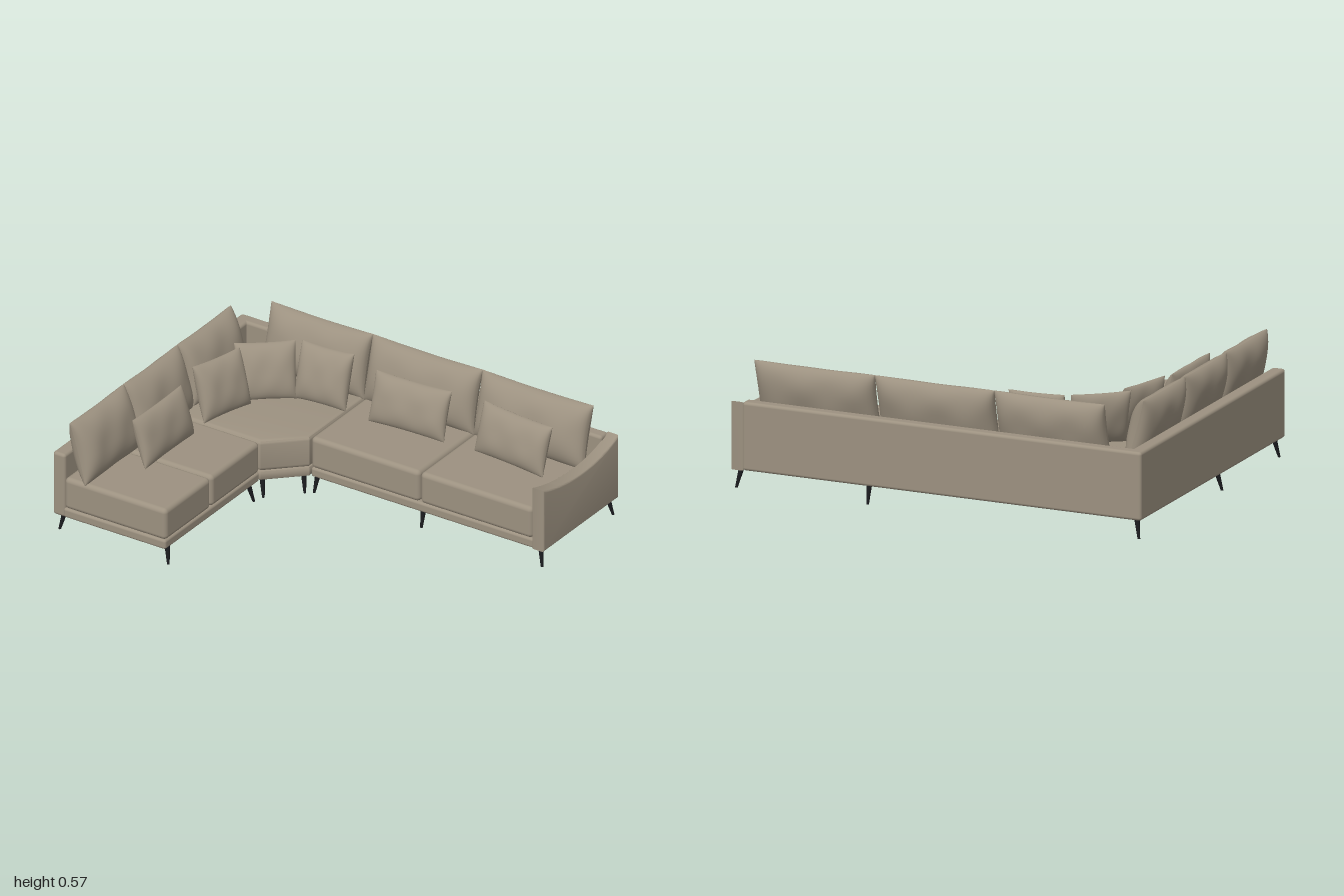
import * as THREE from 'three';
import { toCreasedNormals } from 'three/addons/utils/BufferGeometryUtils.js';
import { RoundedBoxGeometry } from 'three/addons/geometries/RoundedBoxGeometry.js';

export function createModel() {
  const sofa = new THREE.Group();
  sofa.name = 'cornerSofa';
  const fabric = new THREE.MeshStandardMaterial({ color: 0x9c9180 });
  fabric.name = 'taupe fabric';
  const metal = new THREE.MeshStandardMaterial({ color: 0x1a1b1e });
  metal.name = 'black metal';

  const add = (name, geometry, material = fabric) => {
    const mesh = new THREE.Mesh(geometry, material);
    mesh.name = name;
    sofa.add(mesh);
    return mesh;
  };

  // Soft-edged block given by its extents
  const block = (name, x0, x1, y0, y1, z0, z1, r) => {
    const g = new RoundedBoxGeometry(x1 - x0, y1 - y0, z1 - z0, 4, r);
    g.translate((x0 + x1) / 2, (y0 + y1) / 2, (z0 + z1) / 2);
    return add(name, g);
  };

  // Bevelled extrusion whose bevel stays within the given depth
  const extrude = (shape, depth, r) => new THREE.ExtrudeGeometry(shape, {
    depth: depth - 2 * r, bevelSize: r, bevelThickness: r, bevelOffset: -r,
    bevelSegments: 4, curveSegments: 24,
  }).translate(0, 0, r);

  // Horizontal slab from an outline of [x, z] points
  const slab = (name, outline, y0, y1, r) => {
    const shape = new THREE.Shape(outline.map(([x, z]) => new THREE.Vector2(x, -z)));
    const g = extrude(shape, y1 - y0, r).rotateX(-Math.PI / 2).translate(0, y0, 0);
    return add(name, toCreasedNormals(g, 0.6));
  };

  // Back panels
  block('backPanel', -1, 0.945, 0.085, 0.4, -0.755, -0.695, 0.014);
  block('sidePanel', -1, -0.935, 0.085, 0.4, -0.74, 0.755, 0.014);

  // Arm with a sagging top edge
  const armShape = new THREE.Shape();
  armShape.moveTo(0.155, 0.085);
  armShape.lineTo(0.755, 0.085);
  armShape.lineTo(0.755, 0.4);
  armShape.bezierCurveTo(0.6, 0.325, 0.36, 0.325, 0.155, 0.395);
  armShape.closePath();
  const arm = extrude(armShape, 0.064, 0.01).rotateY(Math.PI / 2).translate(0.936, 0, 0);
  add('arm', toCreasedNormals(arm, 0.6));

  // Base plinths
  const corner = (g) => [
    [-0.945, -g], [-0.4 - g * 0.4, -g], [-0.24 - g, -0.155 - g * 0.4],
    [-0.24 - g, -0.705], [-0.945, -0.705],
  ];
  block('mainBase', -0.237, 0.945, 0.085, 0.132, -0.705, -0.157, 0.012);
  block('sideBase', -0.945, -0.402, 0.085, 0.132, 0.003, 0.755, 0.012);
  slab('cornerBase', corner(0.003), 0.085, 0.132, 0.01);

  // Seat cushions
  const y0 = 0.13, y1 = 0.285;
  block('mainSeat', -0.238, 0.338, y0, y1, -0.7, -0.155, 0.022);
  block('mainSeat', 0.342, 0.936, y0, y1, -0.7, -0.155, 0.022);
  block('sideSeat', -0.94, -0.4, y0, y1, 0.002, 0.388, 0.022);
  block('sideSeat', -0.94, -0.4, y0, y1, 0.392, 0.755, 0.022);
  slab('cornerSeat', corner(0.002), y0, y1, 0.02);

  // Stuffed pillow: two bulging faces meeting at a seam, with drawn-out corners
  const pillowGeometry = (w, h, t, seed) => {
    const g = new THREE.PlaneGeometry(2, 2, 28, 20);
    const p = g.attributes.position;
    const warp = (s) => Math.sin(s * Math.PI / 2);
    for (let i = 0; i < p.count; i++) {
      const u = warp(p.getX(i)), v = warp(p.getY(i));
      const fill = Math.max(0, 1 - Math.abs(u) ** 5) ** 0.45 * Math.max(0, 1 - Math.abs(v) ** 2.6) ** 0.6;
      const wrinkle = 1 + 0.06 * Math.sin(u * 7 + seed * 2) * Math.sin(v * 3 + seed);
      p.setXYZ(i,
        u * w / 2 * (1 - 0.035 * (1 - v * v)),
        v * h / 2 * (1 - 0.04 * (1 - u * u)),
        t / 2 * fill * wrinkle);
    }
    g.computeVertexNormals();
    return g;
  };
  const pillow = (name, x, y, z, w, h, t, yaw, lean, seed) => {
    const group = new THREE.Group();
    group.name = name;
    for (const side of [0, 1]) {
      const face = new THREE.Mesh(pillowGeometry(w, h, t, seed + side), fabric);
      face.name = side ? 'pillowBack' : 'pillowFront';
      face.rotation.y = side * Math.PI;
      group.add(face);
    }
    group.position.set(x, y, z);
    group.rotation.set(-lean, yaw, 0, 'YXZ');
    sofa.add(group);
  };

  // Large back cushions: [centre along the panel, width]
  const right = Math.PI / 2;
  [[-0.51, 0.54], [0.05, 0.585], [0.635, 0.59]].forEach(([x, w], i) =>
    pillow('backCushion', x, 0.424, -0.622, w, 0.305, 0.13, 0, 0.25, i));
  [[-0.315, 0.43], [0.115, 0.435], [0.54, 0.43]].forEach(([z, w], i) =>
    pillow('sideCushion', -0.868, 0.424, z, w, 0.305, 0.13, right, 0.27, i + 3));

  // Scatter pillows: [x, z, width, height, yaw]
  [
    [0.085, -0.465, 0.39, 0.235, 0.05],
    [0.63, -0.47, 0.39, 0.235, -0.1],
    [-0.718, 0.297, 0.39, 0.235, right],
    [-0.37, -0.462, 0.265, 0.265, 0.07],
    [-0.61, -0.358, 0.275, 0.265, 0.69],
    [-0.698, -0.14, 0.275, 0.265, 1.3],
  ].forEach(([x, z, w, h, yaw], i) =>
    pillow('scatterPillow', x, 0.285 + h * 0.48, z, w, h, 0.085, yaw, 0.3, i + 6));

  // Tapered legs: [x, z, splay x, splay z]
  [
    [-0.965, 0.705, -1, 1], [-0.425, 0.705, 1, 1], [-0.965, 0.11, -1, 1],
    [-0.425, 0.06, 1, -1], [-0.41, -0.03, 1, 1], [-0.28, -0.165, 1, 1],
    [-0.965, -0.72, -1, -1], [-0.22, -0.19, -0.5, 1], [0.34, -0.19, 0, 1],
    [0.34, -0.72, 0, -1], [0.962, -0.19, 1, 1], [0.962, -0.72, 1, -1],
  ].forEach(([x, z, sx, sz]) => {
    const g = new THREE.CylinderGeometry(0.013, 0.006, 0.09, 16);
    const p = g.attributes.position;
    for (let i = 0; i < p.count; i++) {
      const drop = 0.045 - p.getY(i);
      p.setX(i, p.getX(i) + sx * drop * 0.2);
      p.setZ(i, p.getZ(i) + sz * drop * 0.2);
    }
    g.computeVertexNormals();
    add('leg', g, metal).position.set(x, 0.045, z);
  });

  return sofa;
}
